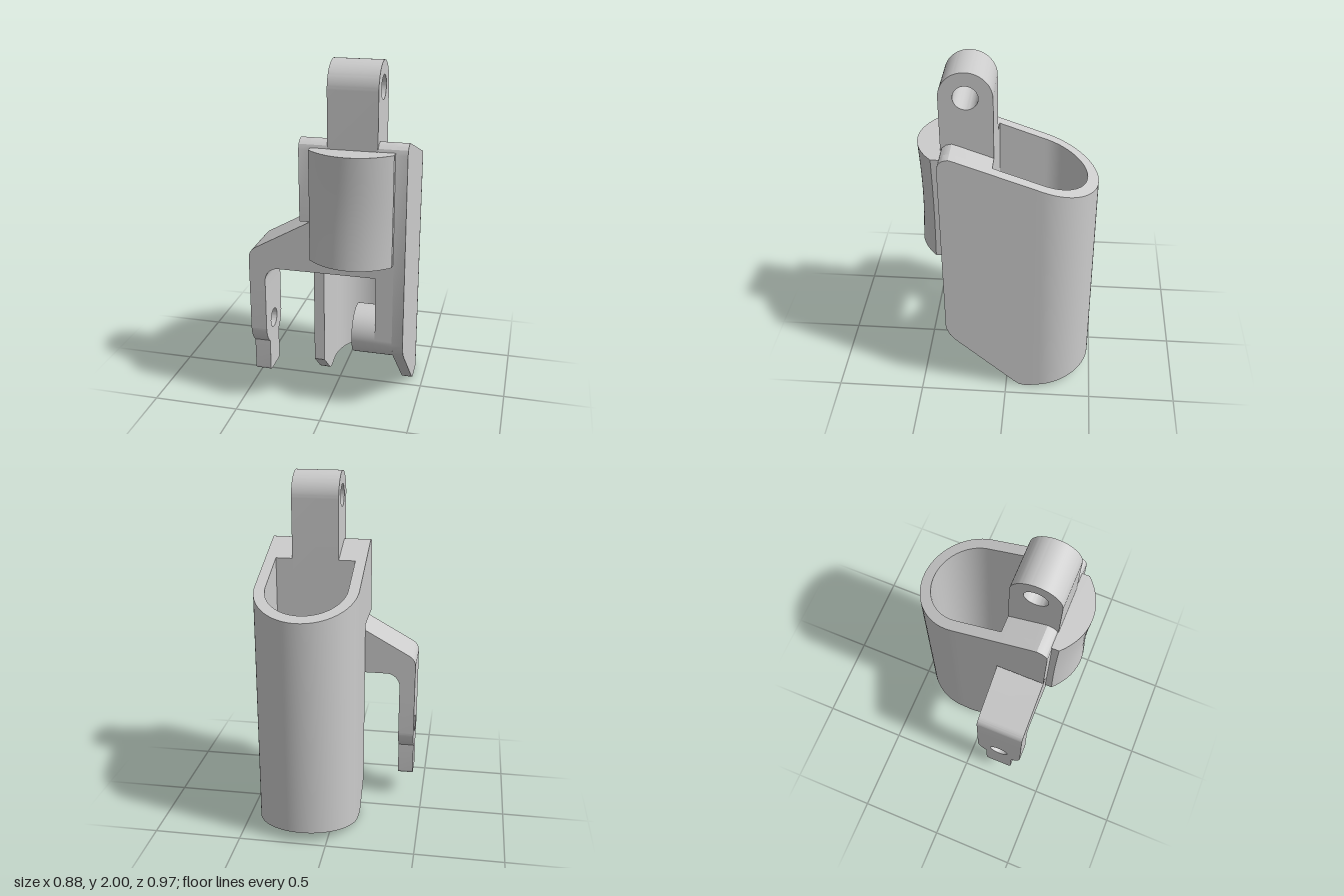
import * as THREE from 'three';
import { toCreasedNormals } from 'three/addons/utils/BufferGeometryUtils.js';

const CX = 0.147, R_OUT = 0.29, R_IN = 0.229, ARC_Z = -0.195; // U-shaped sleeve
const BACK = 0.068, FRONT = 0.346, MID = 0.207;               // bracket depth
const PIN_Y = 0.47, PIN_R = 0.139;

// top and bottom outlines of the sleeve as [z, y]
const TOP = [[-0.485, 1.32], [0.25, 1.583], [0.285, 1.594], [0.315, 1.587], [0.337, 1.568], [FRONT, 1.54]];
const BOTTOM = [[-0.485, 0.065], [-0.16, 0.008], [-0.12, 0.002], [-0.08, 0.01], [-0.05, 0.033],
  [0.29, 0.352], [0.325, 0.395], [FRONT, 0.45]];

function heightAt(line, z) {
  let i = 1;
  while (i < line.length - 1 && z > line[i][0]) i++;
  const [z0, y0] = line[i - 1], [z1, y1] = line[i];
  return y0 + (y1 - y0) * (z - z0) / (z1 - z0);
}

export function createModel() {
  const group = new THREE.Group();
  const material = new THREE.MeshStandardMaterial({ color: 0xcccccc });

  function add(name, geometry) {
    const mesh = new THREE.Mesh(toCreasedNormals(geometry, 0.5), material);
    mesh.name = name;
    group.add(mesh);
  }
  function extrude(shape, depth, steps = 1) {
    return new THREE.ExtrudeGeometry(shape, { depth, steps, bevelEnabled: false, curveSegments: 24 });
  }
  // side outline drawn in (-z, y), extruded from x0 to x1
  function sideExtrude(shape, x0, x1) {
    return extrude(shape, x1 - x0).rotateY(Math.PI / 2).translate(x0, 0, 0);
  }
  function addHole(shape, x, y, r) {
    shape.holes.push(new THREE.Path().absarc(x, y, r, 0, Math.PI * 2, true));
  }

  // sleeve: U-shaped wall between the two outlines, left side cut short
  const path = []; // [side direction x, direction z, z of centre]
  const wallZ = [...TOP, ...BOTTOM].map(p => p[0]).filter(z => z > ARC_Z);
  const zs = [...new Set(wallZ)].sort((a, b) => b - a);
  zs.forEach(z => path.push([1, 0, z]));
  for (let i = 0; i <= 48; i++) {
    const a = Math.PI * i / 48;
    path.push([Math.cos(a), -Math.sin(a), ARC_Z]);
  }
  zs.filter(z => z < BACK).reverse().concat(BACK).forEach(z => path.push([-1, 0, z]));

  const positions = [], index = [];
  for (const [dx, dz, z] of path) {
    const zo = z + dz * R_OUT, zi = z + dz * R_IN;
    const xo = CX + dx * R_OUT, xi = CX + dx * R_IN;
    positions.push(xo, heightAt(TOP, zo), zo, xo, heightAt(BOTTOM, zo), zo,
      xi, heightAt(BOTTOM, zi), zi, xi, heightAt(TOP, zi), zi);
  }
  for (let i = 0; i < path.length - 1; i++) {
    for (let j = 0; j < 4; j++) {
      const a = i * 4 + j, b = i * 4 + (j + 1) % 4;
      index.push(a, b, b + 4, a, b + 4, a + 4);
    }
  }
  const e = (path.length - 1) * 4;
  index.push(0, 3, 2, 0, 2, 1, e, e + 1, e + 2, e, e + 2, e + 3);
  const sleeve = new THREE.BufferGeometry();
  sleeve.setAttribute('position', new THREE.Float32BufferAttribute(positions, 3));
  sleeve.setIndex(index);
  add('sleeve', sleeve);

  // front wall with the sleeve's rounded top, and the left cheek beside it
  function wallShape(y0) {
    const s = new THREE.Shape();
    s.moveTo(-FRONT, y0);
    s.lineTo(-BACK, y0);
    s.lineTo(-BACK, heightAt(TOP, BACK));
    TOP.slice(1).forEach(([z, y]) => s.lineTo(-z, y));
    return s;
  }
  add('frontWall', sideExtrude(wallShape(0.845), CX - R_IN, CX + R_IN));
  add('leftCheek', sideExtrude(wallShape(1.14), CX - R_OUT, CX - R_IN));

  // upper lug with hole
  const lug = new THREE.Shape();
  lug.moveTo(-FRONT, 1.3);
  lug.lineTo(-BACK, 1.3);
  lug.lineTo(-BACK, 1.861);
  lug.absarc(-MID, 1.861, PIN_R, 0, Math.PI, false);
  addHole(lug, -MID, 1.861, 0.065);
  add('upperLug', sideExtrude(lug, 0.013, 0.281));

  // bowed front pad, slightly hollowed along its height
  const pad = new THREE.Shape();
  pad.moveTo(-0.226, 0.33);
  pad.lineTo(0.226, 0.33);
  pad.lineTo(0.226, 0.385);
  pad.quadraticCurveTo(0.125, 0.483, 0, 0.484);
  pad.quadraticCurveTo(-0.125, 0.483, -0.226, 0.385);
  const y0 = 0.935, h = 0.617;
  const padGeometry = extrude(pad, h, 10).rotateX(Math.PI / 2).scale(1, -1, 1);
  // undo the mirrored winding
  const p = padGeometry.attributes.position;
  for (let i = 0; i < p.count; i += 3) {
    const a = new THREE.Vector3().fromBufferAttribute(p, i);
    const b = new THREE.Vector3().fromBufferAttribute(p, i + 1);
    p.setXYZ(i, b.x, b.y, b.z);
    p.setXYZ(i + 1, a.x, a.y, a.z);
  }
  for (let i = 0; i < p.count; i++) {
    const bow = 1 - 0.08 * Math.sin(Math.PI * p.getY(i) / h);
    p.setZ(i, 0.33 + (p.getZ(i) - 0.33) * bow);
  }
  add('frontPad', padGeometry.translate(CX, y0, 0));

  // side arm with rounded elbow
  const arm = new THREE.Shape();
  arm.moveTo(-0.08, 0.845);
  arm.lineTo(-0.08, 1.143);
  arm.lineTo(-0.4, 0.963);
  arm.quadraticCurveTo(-0.441, 0.94, -0.441, 0.895);
  arm.lineTo(-0.441, 0.7);
  arm.lineTo(-0.35, 0.7);
  arm.lineTo(-0.35, 0.765);
  arm.absarc(-0.27, 0.765, 0.08, Math.PI, Math.PI / 2, true);
  add('sideArm', extrude(arm, FRONT - BACK).translate(0, 0, BACK));

  // hanging leg: round eye with a narrow tip
  const leg = new THREE.Shape();
  const bend = Math.acos(0.6);
  leg.moveTo(-MID - PIN_R, 0.7);
  leg.lineTo(-MID - PIN_R, PIN_Y);
  leg.absarc(-MID, PIN_Y, PIN_R, Math.PI, Math.PI + bend, false);
  leg.lineTo(-MID - 0.083, 0.185);
  leg.quadraticCurveTo(-MID - 0.083, 0.163, -MID - 0.06, 0.163);
  leg.lineTo(-MID + 0.06, 0.163);
  leg.quadraticCurveTo(-MID + 0.083, 0.163, -MID + 0.083, 0.185);
  leg.absarc(-MID, PIN_Y, PIN_R, 2 * Math.PI - bend, 2 * Math.PI, false);
  leg.lineTo(-MID + PIN_R, 0.7);
  addHole(leg, -MID, PIN_Y, 0.055);
  add('sideLeg', sideExtrude(leg, -0.441, -0.35));

  // inner leg along the left wall, ending in a round boss
  add('innerLeg', new THREE.BoxGeometry(0.097, 0.38, FRONT - BACK).translate(0.3285, 0.66, MID));
  add('innerBoss', new THREE.CylinderGeometry(PIN_R, PIN_R, 0.231, 48)
    .rotateZ(Math.PI / 2).translate(0.2625, PIN_Y, MID));

  return group;
}
